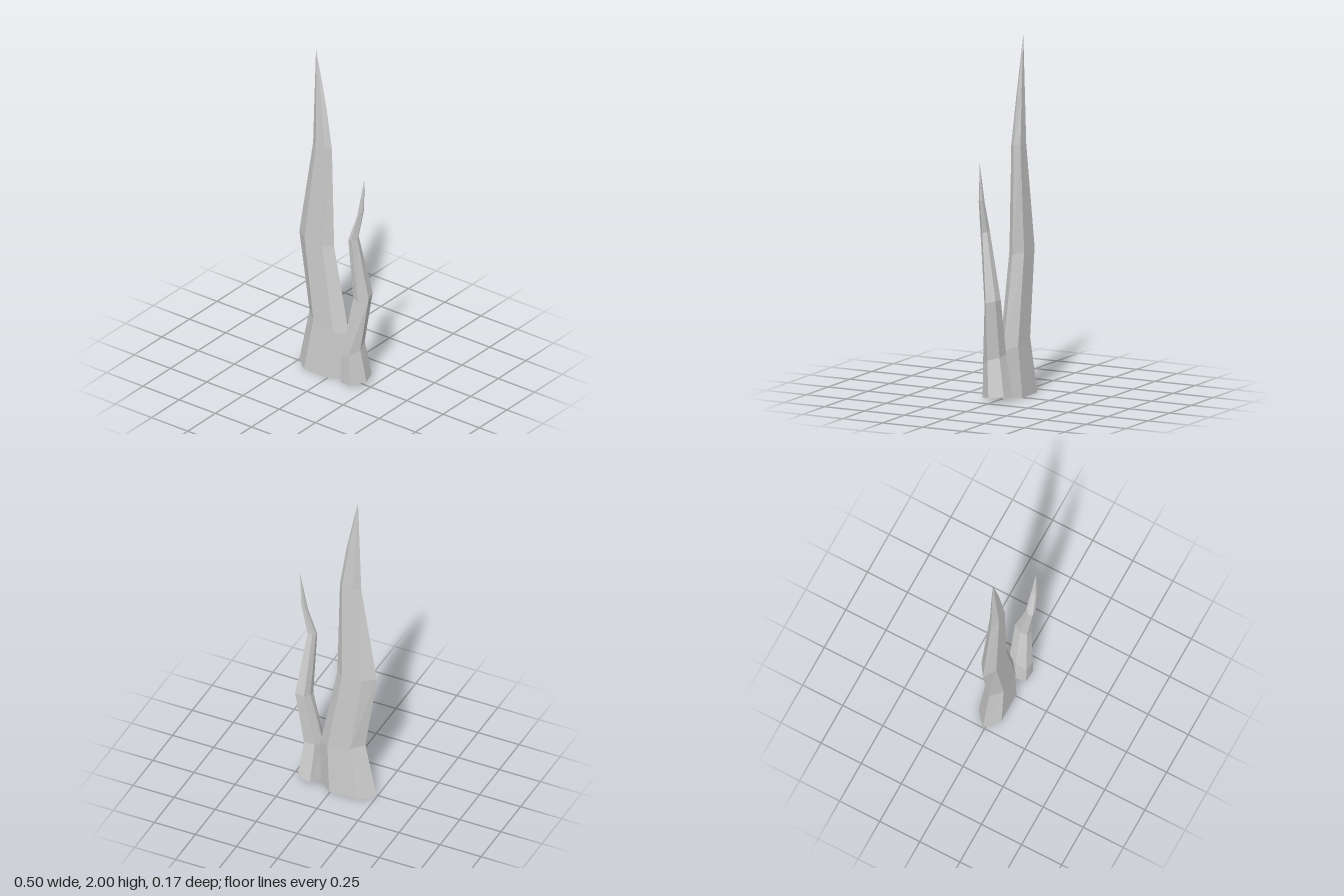
import * as THREE from 'three';

// Skin closed rings (each anticlockwise seen from the front-left round to the back),
// closing the bottom with a fan and the top with a point.
function blade(name, rings, tip, material) {
  const n = rings[0].length;
  const pos = [];
  const tri = (a, b, c) => pos.push(...a, ...b, ...c);
  const base = rings[0];
  const centre = [0, 1, 2].map(k => base.reduce((s, p) => s + p[k], 0) / n);
  for (let i = 0; i < n; i++) {
    const j = (i + 1) % n;
    tri(centre, base[j], base[i]);
    for (let r = 0; r < rings.length - 1; r++) {
      const lo = rings[r], hi = rings[r + 1];
      tri(lo[i], lo[j], hi[j]);
      tri(lo[i], hi[j], hi[i]);
    }
    const top = rings[rings.length - 1];
    tri(top[i], top[j], tip);
  }
  const geometry = new THREE.BufferGeometry();
  geometry.setAttribute('position', new THREE.Float32BufferAttribute(pos, 3));
  geometry.computeVertexNormals();
  const mesh = new THREE.Mesh(geometry, material);
  mesh.name = name;
  return mesh;
}

export function createModel() {
  const group = new THREE.Group();
  group.name = 'grassBlades';
  const material = new THREE.MeshStandardMaterial({ color: 0xcccccc, flatShading: true });

  // Tall flat blade, symmetric front to back:
  // left x, inner left x, inner right x, right x, half depth, left y, inner left y, inner right y, right y
  const z = -0.011;
  const tall = [
    [-0.25, -0.165, 0.006, 0.095, 0.071, 0, 0, 0, 0],
    [-0.18, -0.112, 0.025, 0.093, 0.055, 0.335, 0.32, 0.29, 0.27],
    [-0.25, -0.18, -0.06, -0.01, 0.046, 0.81, 0.81, 0.8, 0.79],
    [-0.155, -0.115, -0.05, -0.025, 0.029, 1.4, 1.4, 1.4, 1.4],
    [-0.146, -0.124, -0.085, -0.065, 0.016, 1.68, 1.68, 1.67, 1.66],
  ].map(([l, il, ir, r, d, yl, yil, yir, yr]) => [
    [l, yl, z], [il, yil, z + d], [ir, yir, z + d],
    [r, yr, z], [ir, yir, z - d], [il, yil, z - d],
  ]);
  group.add(blade('tallBlade', tall, [-0.135, 2, z], material));

  // Short crooked blade: left, front left, front right, right, back right, back left
  const short = [
    [[0.08, 0.012, -0.01], [0.1, 0.008, 0.07], [0.172, 0.015, 0.076],
      [0.228, 0.028, 0.01], [0.202, 0.034, -0.073], [0.122, 0.025, -0.085]],
    [[0.088, 0.24, 0.012], [0.1, 0.18, 0.072], [0.158, 0.2, 0.081],
      [0.202, 0.23, 0.03], [0.182, 0.25, -0.035], [0.115, 0.26, -0.04]],
    [[0.16, 0.56, 0.0], [0.163, 0.55, 0.042], [0.198, 0.54, 0.05],
      [0.248, 0.56, 0.015], [0.235, 0.575, -0.038], [0.18, 0.57, -0.042]],
    [[0.153, 0.93, 0.055], [0.157, 0.93, 0.08], [0.182, 0.94, 0.084],
      [0.205, 0.94, 0.06], [0.195, 0.95, 0.036], [0.165, 0.95, 0.035]],
    [[0.207, 1.1, 0.056], [0.21, 1.1, 0.068], [0.228, 1.12, 0.07],
      [0.241, 1.13, 0.056], [0.236, 1.13, 0.042], [0.215, 1.12, 0.04]],
  ];
  group.add(blade('shortBlade', short, [0.249, 1.34, 0.052], material));

  return group;
}
